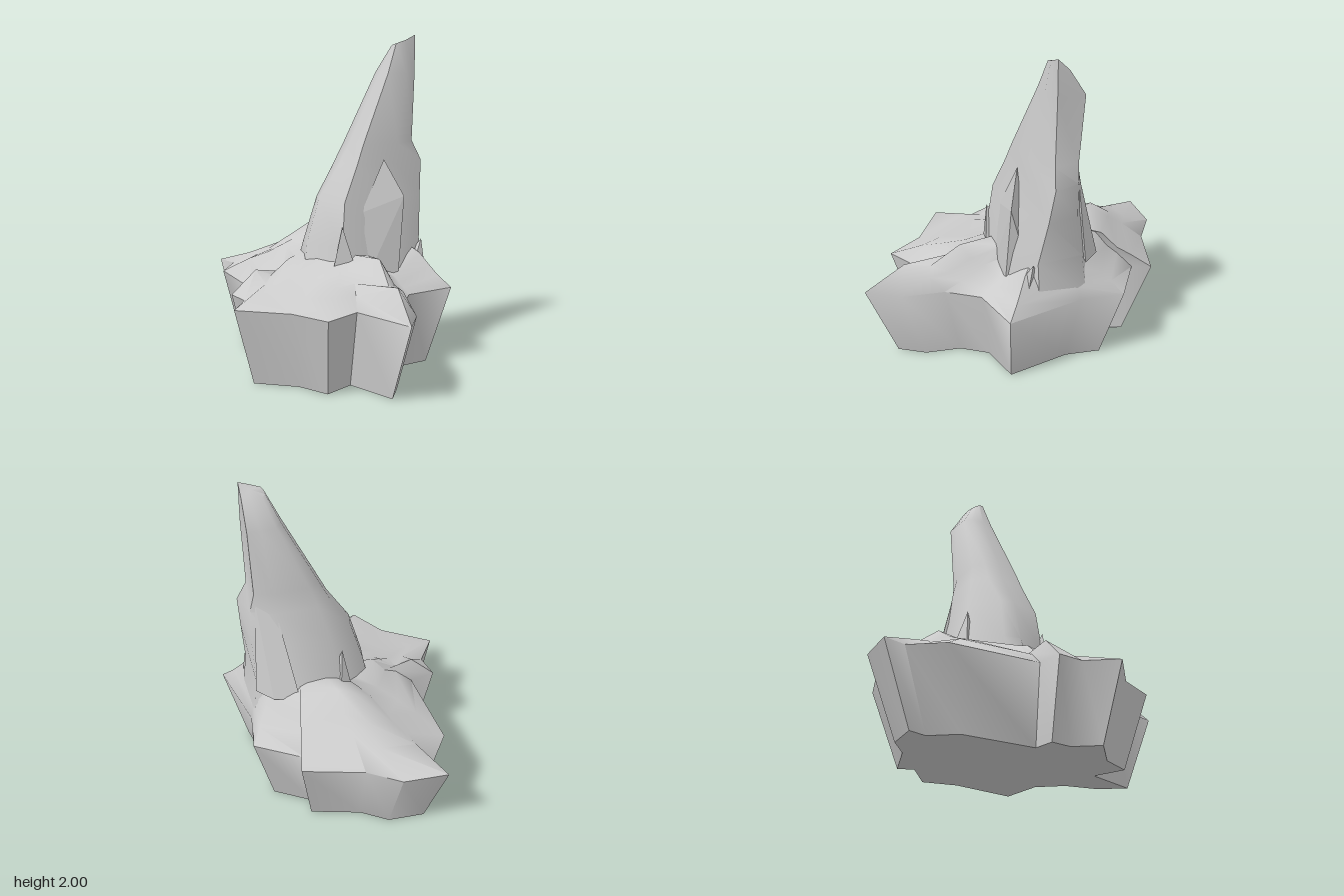
import * as THREE from 'three';
import { toCreasedNormals } from 'three/addons/utils/BufferGeometryUtils.js';
import { ConvexGeometry } from 'three/addons/geometries/ConvexGeometry.js';

const material = new THREE.MeshStandardMaterial({ color: 0xcccccc });
const V = (x, y, z) => new THREE.Vector3(x, y, z);

// Skin a stack of closed rings of equal length, dropping collapsed triangles
function loft(rings, crease) {
  const pos = [];
  const tri = (a, b, c) => {
    if (new THREE.Triangle(a, b, c).getArea() < 1e-7) return;
    for (const p of [a, b, c]) pos.push(p.x, p.y, p.z);
  };
  for (let k = 0; k + 1 < rings.length; k++) {
    const lo = rings[k], hi = rings[k + 1], n = lo.length;
    for (let i = 0; i < n; i++) {
      const j = (i + 1) % n;
      tri(lo[i], hi[i], hi[j]);
      tri(lo[i], hi[j], lo[j]);
    }
  }
  const geo = new THREE.BufferGeometry();
  geo.setAttribute('position', new THREE.Float32BufferAttribute(pos, 3));
  return toCreasedNormals(geo, crease);
}

// Jagged rim of the base (x, z), then ground heights at each step inward to the spire foot
const STEPS = [0.3, 0.5, 0.72, 1];
const RIM = [
  [-0.33, -1.0, 0.55, 0.6, 0.7, 0.74], [-0.06, -0.98, 0.57, 0.66, 0.78, 0.78],
  [0.12, -0.84, 0.62, 0.7, 0.8, 0.79], [0.47, -0.72, 0.57, 0.63, 0.74, 0.78],
  [0.42, -0.61, 0.58, 0.64, 0.74, 0.78], [0.68, -0.42, 0.55, 0.6, 0.68, 0.76],
  [0.63, -0.16, 0.55, 0.6, 0.66, 0.74], [0.7, 0.32, 0.54, 0.6, 0.67, 0.72],
  [0.38, 0.37, 0.5, 0.52, 0.55, 0.6], [0.24, 0.55, 0.52, 0.55, 0.6, 0.62],
  [0.19, 0.81, 0.57, 0.58, 0.65, 0.68], [0.06, 0.99, 0.63, 0.6, 0.72, 0.69],
  [-0.08, 0.6, 0.53, 0.58, 0.65, 0.7], [-0.31, 0.71, 0.55, 0.58, 0.62, 0.68],
  [-0.43, 0.48, 0.52, 0.55, 0.59, 0.67], [-0.7, 0.27, 0.52, 0.55, 0.6, 0.67],
  [-0.57, 0.09, 0.55, 0.57, 0.62, 0.67], [-0.59, -0.07, 0.61, 0.57, 0.66, 0.67],
  [-0.43, -0.1, 0.56, 0.58, 0.67, 0.68], [-0.43, -0.67, 0.57, 0.62, 0.67, 0.7],
  [-0.29, -0.86, 0.56, 0.62, 0.7, 0.72],
];

// Spire sections: height, then x, z pairs running clockwise from the back left
const SPIRE = [
  [0.48, -0.14, -0.2, 0.1, -0.38, 0.42, -0.36, 0.62, -0.2, 0.62, 0.1, 0.4, 0.22, 0.02, 0.22, -0.16, 0.02],
  [0.75, -0.09, -0.14, 0.1, -0.33, 0.42, -0.33, 0.59, -0.18, 0.59, 0.1, 0.41, 0.18, 0.02, 0.19, -0.11, -0.04],
  [1.02, -0.01, -0.12, 0.15, -0.26, 0.45, -0.25, 0.6, -0.14, 0.62, 0.05, 0.42, 0.13, 0.05, 0.16, -0.03, -0.04],
  [1.23, 0.12, -0.14, 0.21, -0.21, 0.46, -0.21, 0.6, -0.14, 0.64, 0.02, 0.42, 0.1, 0.15, 0.12, 0.11, -0.04],
  [1.35, 0.18, -0.13, 0.25, -0.18, 0.47, -0.18, 0.575, -0.15, 0.585, 0, 0.44, 0.09, 0.2, 0.1, 0.17, -0.03],
  [1.77, 0.39, -0.12, 0.43, -0.16, 0.52, -0.17, 0.6, -0.17, 0.6, 0, 0.52, 0.04, 0.4, 0.03, 0.38, -0.04],
];
// Slanting tip: x, y, z
const TIP = [
  [0.46, 1.93, -0.05], [0.48, 1.92, -0.07], [0.55, 1.93, -0.07], [0.6, 1.93, -0.07],
  [0.6, 2, 0], [0.53, 1.97, 0.01], [0.47, 1.95, 0], [0.46, 1.94, -0.03],
];

// Loose slabs leaning on the spire, each the hull of a few corners
const SHARDS = {
  frontShard: [[0.33, 1.26, 0.12], [0.43, 1.04, 0.2], [0.38, 0.5, 0.22], [0.2, 0.6, 0.21], [0.16, 0.95, 0.16], [0.42, 0.6, 0.08]],
  frontLeftShard: [[0.02, 0.88, 0.19], [-0.04, 0.62, 0.19], [0.1, 0.6, 0.23], [0.08, 0.62, 0.08]],
  frontRightShard: [[0.59, 0.75, 0.13], [0.48, 0.55, 0.2], [0.6, 0.55, 0.17], [0.5, 0.6, 0.05]],
  backShard: [[0.57, 1.29, -0.15], [0.45, 1.18, -0.22], [0.37, 0.7, -0.36], [0.52, 0.7, -0.31], [0.6, 0.7, -0.2], [0.38, 0.8, -0.2]],
  backLeftShard: [[0.09, 0.95, -0.29], [0.04, 0.7, -0.32], [0.12, 0.7, -0.37], [0.14, 0.7, -0.2]],
};

export function createModel() {
  const model = new THREE.Group();
  const add = (name, geo) => {
    const mesh = new THREE.Mesh(geo, material);
    mesh.name = name;
    model.add(mesh);
  };

  // Base: flared wall up to the rim, then uneven ground rising to the spire foot
  const cx = 0.25, cz = -0.05;
  const ground = STEPS.map((t, k) => RIM.map(([x, z, ...heights]) => {
    const a = Math.atan2(z - cz, x - cx);
    return V(
      THREE.MathUtils.lerp(x, cx + 0.33 * Math.cos(a), t),
      heights[k],
      THREE.MathUtils.lerp(z, cz + 0.25 * Math.sin(a), t));
  }));
  const ring = (scale, y) => RIM.map(([x, z]) => V(x * scale, y, z * scale));
  add('rockBase', loft([
    RIM.map(() => V(cx * 0.8, 0, cz * 0.8)),
    ring(0.805, 0), ring(1, 0.47), ...ground,
    RIM.map(() => V(cx, 0.72, cz)),
  ], 1.05));

  // Leaning spire
  const sections = SPIRE.map(([y, ...xz]) =>
    Array.from({ length: 8 }, (_, i) => V(xz[2 * i], y, xz[2 * i + 1])));
  sections.push(TIP.map((p) => V(...p)), TIP.map(() => V(0.54, 1.96, -0.03)));
  add('spire', loft(sections, 0.9));

  // Shards
  for (const [name, corners] of Object.entries(SHARDS)) {
    add(name, new ConvexGeometry(corners.map((p) => V(...p))));
  }
  return model;
}
